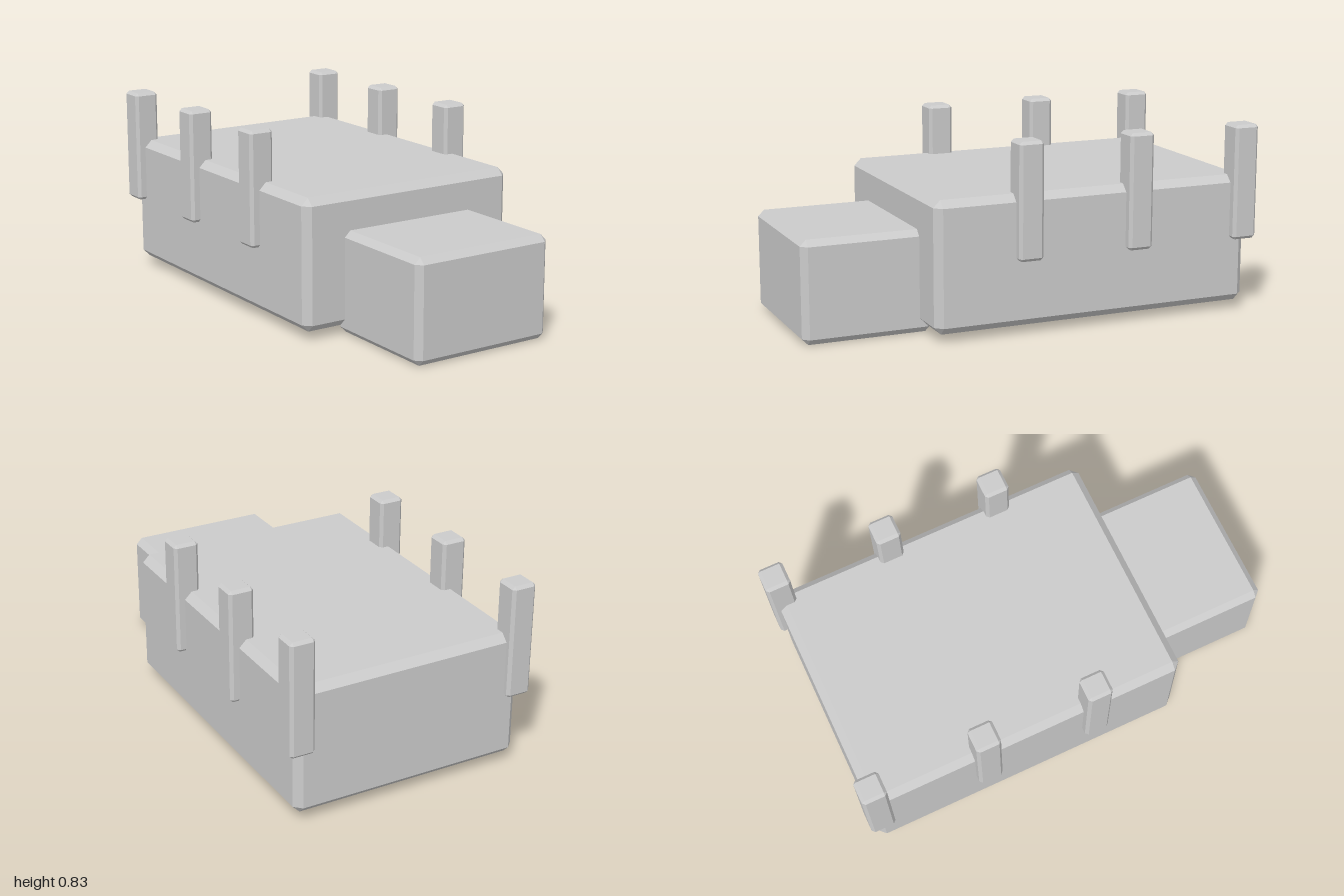
import * as THREE from 'three';
import { ConvexGeometry } from 'three/addons/geometries/ConvexGeometry.js';

const material = new THREE.MeshStandardMaterial({ color: 0xcccccc, flatShading: true });

// Box with every edge and corner cut by a flat bevel
function bevelledBox(name, [w, h, d], bevel, [x, y, z]) {
  const points = [];
  for (const sx of [-1, 1]) for (const sy of [-1, 1]) for (const sz of [-1, 1]) {
    for (let axis = 0; axis < 3; axis++) {
      const half = [w, h, d].map((size, i) => size / 2 - (i === axis ? 0 : bevel));
      points.push(new THREE.Vector3(sx * half[0], sy * half[1], sz * half[2]));
    }
  }
  const mesh = new THREE.Mesh(new ConvexGeometry(points), material);
  mesh.name = name;
  mesh.position.set(x, y, z);
  return mesh;
}

export function createModel() {
  const group = new THREE.Group();
  group.name = 'blockTruck';

  // Large rear body and lower front block
  group.add(bevelledBox('body', [1.05, 0.57, 1.46], 0.032, [0, 0.32, -0.24]));
  group.add(bevelledBox('frontBlock', [0.666, 0.447, 0.57], 0.027, [0, 0.2235, 0.715]));

  // Three upright stakes along each side
  for (const side of [-1, 1]) {
    for (let i = 0; i < 3; i++) {
      const name = (side > 0 ? 'left' : 'right') + 'Stake' + (i + 1);
      group.add(bevelledBox(name, [0.112, 0.507, 0.112], 0.013,
        [side * 0.509, 0.577, 0.077 - i * 0.5105]));
    }
  }
  return group;
}
